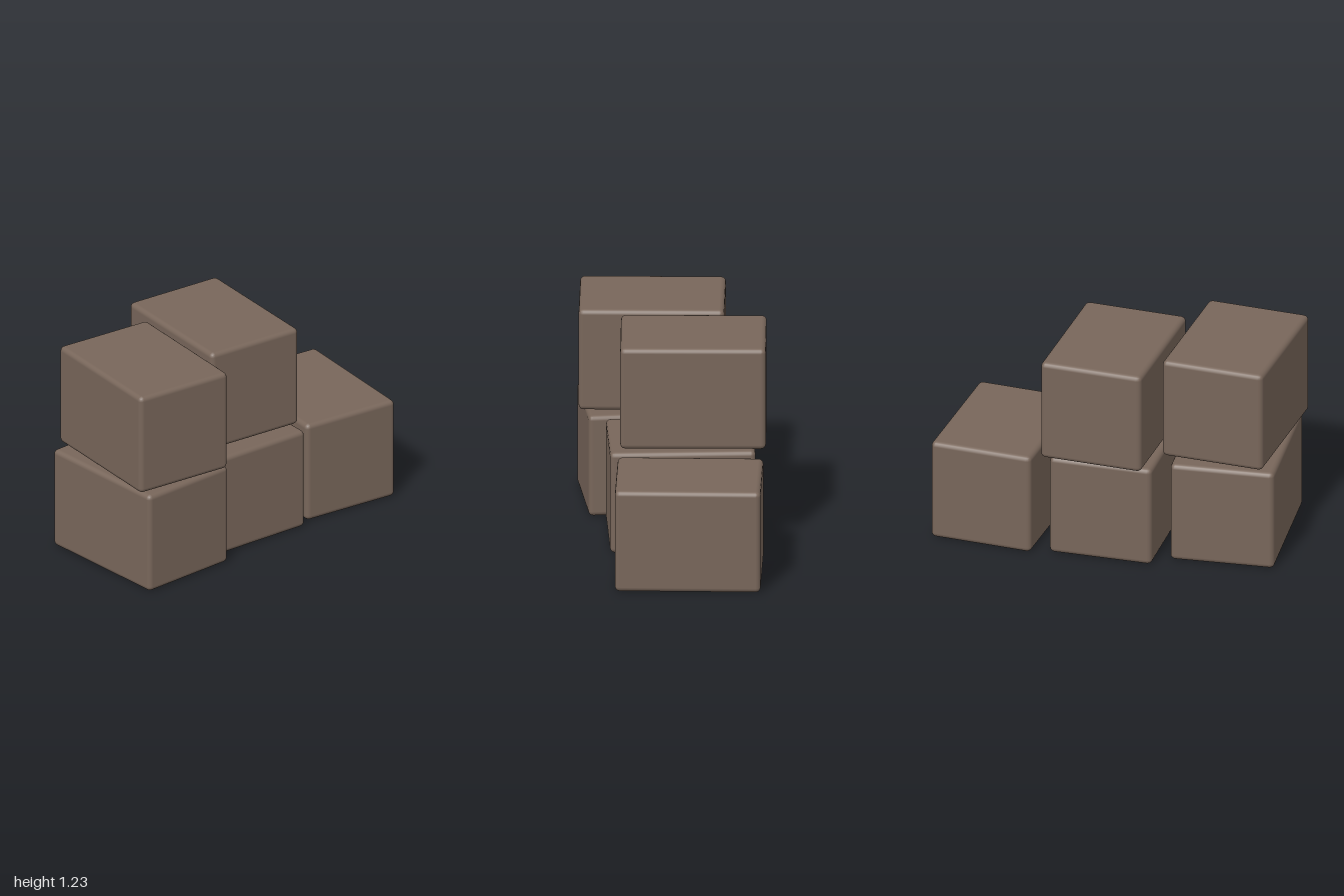
import * as THREE from 'three';
import { RoundedBoxGeometry } from 'three/addons/geometries/RoundedBoxGeometry.js';

// Five bevelled blocks, loosely stacked: three below, two above
export function createModel() {
  const group = new THREE.Group();
  group.name = 'blockStack';

  const brown = new THREE.MeshStandardMaterial({ color: 0x78665a });
  brown.name = 'earthBrown';

  const height = 0.603;
  const block = new RoundedBoxGeometry(0.6, height, 0.825, 2, 0.028);
  const lower = height / 2 + 0.003;
  const upper = 1.23 - height / 2;

  // name, x, y, z, turn about the vertical
  const blocks = [
    ['lowerRightBlock', -0.67, lower, 0.07, 0.038],
    ['lowerMiddleBlock', -0.015, lower, -0.025, -0.036],
    ['lowerLeftBlock', 0.655, lower, -0.02, -0.106],
    ['upperRightBlock', -0.662, upper, 0.087, -0.094],
    ['upperMiddleBlock', 0.005, upper, -0.095, -0.085],
  ];
  for (const [name, x, y, z, turn] of blocks) {
    const mesh = new THREE.Mesh(block, brown);
    mesh.name = name;
    mesh.position.set(x, y, z);
    mesh.rotation.y = turn;
    group.add(mesh);
  }
  return group;
}
